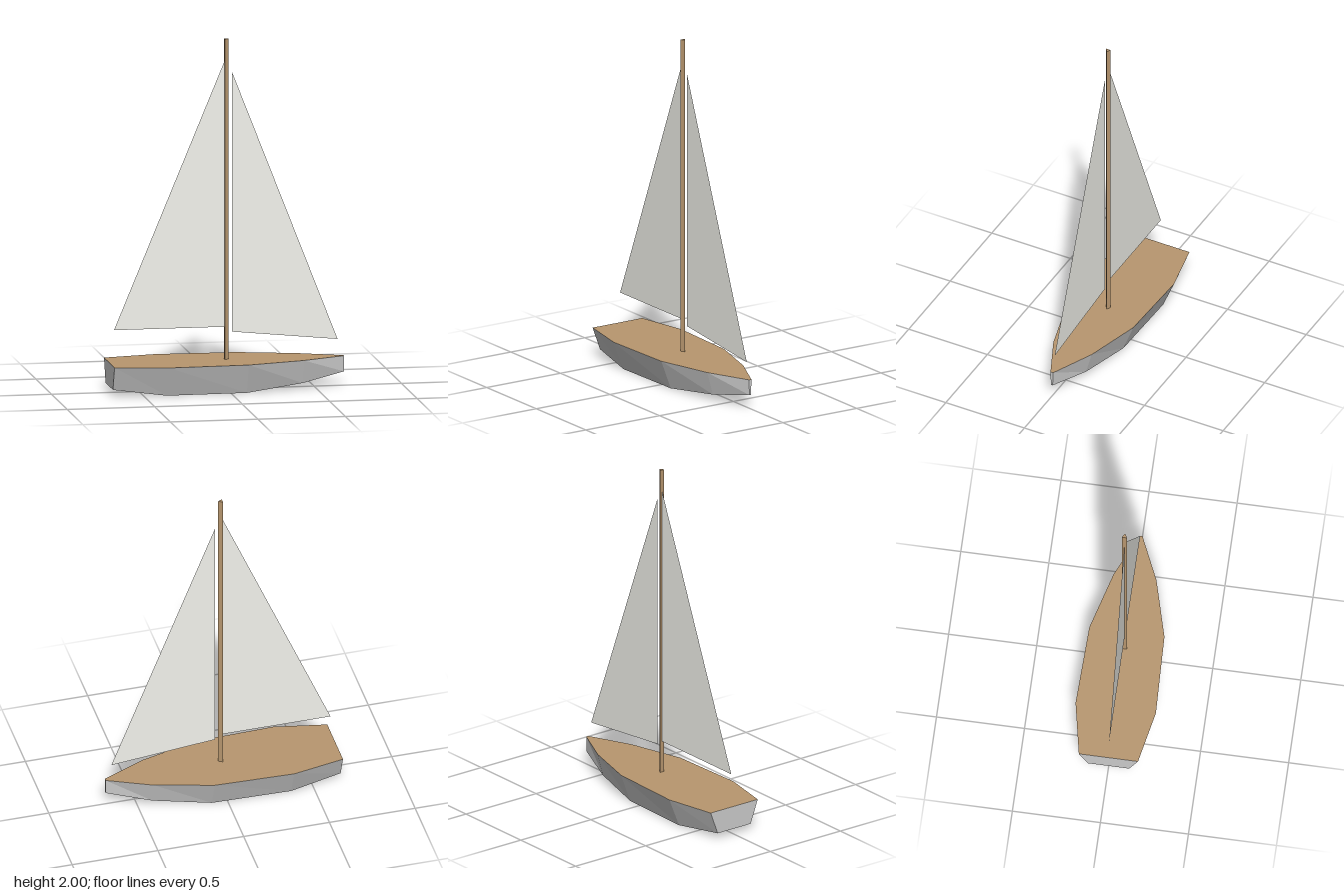
import * as THREE from 'three';

const DECK_Y = 0.17;
const FLARE = 0.7; // keel width relative to deck width
// Hull stations from stern to bow: [x, half width at deck, keel height]
const STATIONS = [
  [-0.67, 0.168, 0.035],
  [-0.37, 0.228, 0],
  [0.09, 0.213, 0],
  [0.42, 0.122, 0.035],
  [0.67, 0.008, 0.08],
];

const material = (color, side = THREE.FrontSide) =>
  new THREE.MeshStandardMaterial({ color, side, flatShading: true });

function addMesh(group, name, geometry, mat) {
  const mesh = new THREE.Mesh(geometry, mat);
  mesh.name = name;
  group.add(mesh);
  return mesh;
}

// Lofts the open-topped hull through its trapezoid cross-sections
function hullGeometry() {
  const positions = [];
  const index = [];
  for (const [x, w, y] of STATIONS) {
    positions.push(x, DECK_Y, w, x, y, w * FLARE, x, y, -w * FLARE, x, DECK_Y, -w);
  }
  const quad = (a, b, c, d) => index.push(a, b, c, a, c, d);
  const last = (STATIONS.length - 1) * 4;
  for (let i = 0; i < last; i += 4) {
    for (let j = 0; j < 3; j++) quad(i + j, i + j + 1, i + j + 5, i + j + 4);
  }
  quad(3, 2, 1, 0); // transom
  quad(last, last + 1, last + 2, last + 3); // stem
  const geometry = new THREE.BufferGeometry();
  geometry.setAttribute('position', new THREE.Float32BufferAttribute(positions, 3));
  geometry.setIndex(index);
  const flat = geometry.toNonIndexed();
  flat.computeVertexNormals();
  return flat;
}

// Flat polygon in the XY plane
function panel(points) {
  return new THREE.ShapeGeometry(new THREE.Shape(points.map(([x, y]) => new THREE.Vector2(x, y))));
}

export function createModel() {
  const boat = new THREE.Group();
  boat.name = 'sailboat';
  const wood = material(0xb8976f);
  const cloth = material(0xf2f2ec, THREE.DoubleSide);

  addMesh(boat, 'hull', hullGeometry(), material(0xcccccc));

  // Deck closes the top of the hull
  const starboard = STATIONS.map(([x, w]) => [x, -w]);
  const port = STATIONS.map(([x, w]) => [x, w]).reverse();
  const deck = panel([...starboard, ...port]).rotateX(-Math.PI / 2);
  addMesh(boat, 'deck', deck, wood).position.y = DECK_Y;

  // Three-sided mast with one edge towards the bow
  const mastHeight = 2 - DECK_Y;
  const mast = new THREE.CylinderGeometry(0.0167, 0.0167, mastHeight, 3).rotateY(Math.PI / 2);
  addMesh(boat, 'mast', mast, wood).position.set(-0.004, DECK_Y + mastHeight / 2, 0);

  // Sails
  addMesh(boat, 'mainSail', panel([[-0.643, 0.355], [0, 0.355], [0, 1.9]]), cloth);
  addMesh(boat, 'jib', panel([[0.03, 0.326], [0.635, 0.265], [0.03, 1.813]]), cloth);

  return boat;
}
